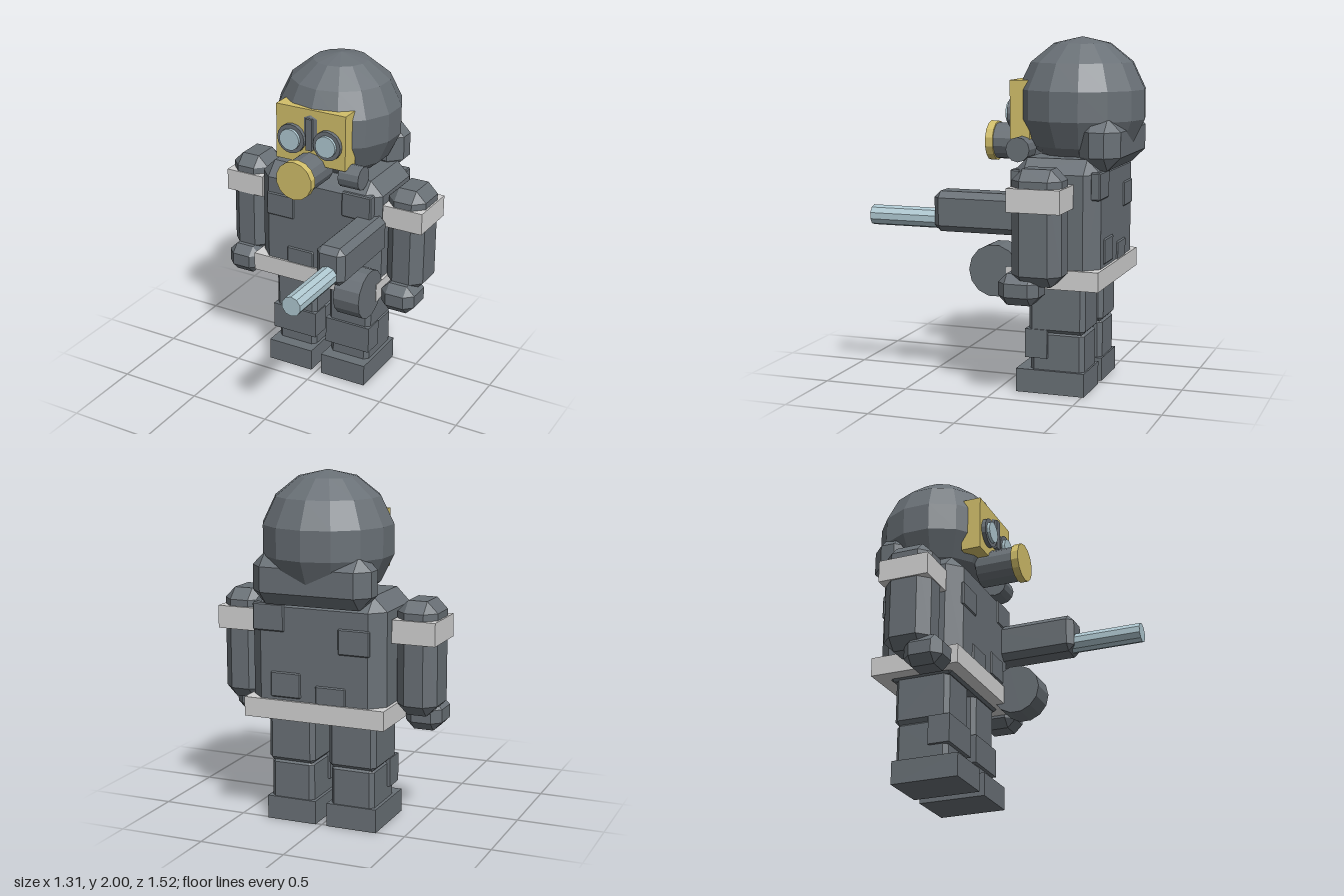
import * as THREE from 'three';
import { ConvexGeometry } from 'three/addons/geometries/ConvexGeometry.js';

const mat = (name, color) => {
  const m = new THREE.MeshStandardMaterial({ color });
  m.name = name;
  m.flatShading = true;
  return m;
};

export function createModel() {
  const armour = mat('dark grey armour', 0x697076);
  const white = mat('white trim', 0xd2d2d2);
  const gold = mat('gold', 0xd2bf6a);
  const glass = mat('pale blue glass', 0xb0c9d2);

  const model = new THREE.Group();
  model.name = 'armouredTrooper';

  const add = (name, geometry, material, parent = model) => {
    const mesh = new THREE.Mesh(geometry, material);
    mesh.name = name;
    parent.add(mesh);
    return mesh;
  };

  // Ranges are [min, max] along each axis
  const box = (name, material, x, y, z, parent) => {
    const mesh = add(name, new THREE.BoxGeometry(x[1] - x[0], y[1] - y[0], z[1] - z[0]), material, parent);
    mesh.position.set((x[0] + x[1]) / 2, (y[0] + y[1]) / 2, (z[0] + z[1]) / 2);
    return mesh;
  };

  // Box with every edge and corner cut by c
  const chamfered = (name, material, x, y, z, c, parent) => {
    const points = [];
    const pick = (range, i, inset) => (i ? range[1] - inset : range[0] + inset);
    for (let i = 0; i < 8; i++) {
      for (let axis = 0; axis < 3; axis++) {
        points.push(new THREE.Vector3(
          pick(x, i & 1, axis === 0 ? 0 : c),
          pick(y, i & 2, axis === 1 ? 0 : c),
          pick(z, i & 4, axis === 2 ? 0 : c)));
      }
    }
    return add(name, new ConvexGeometry(points), material, parent);
  };

  // Cylinders along z and along x
  const rodZ = (name, material, r, x, y, z, sides) => {
    const g = new THREE.CylinderGeometry(r, r, z[1] - z[0], sides).rotateX(Math.PI / 2);
    add(name, g, material).position.set(x, y, (z[0] + z[1]) / 2);
  };
  const rodX = (name, material, r, x, y, z, sides) => {
    const g = new THREE.CylinderGeometry(r, r, x[1] - x[0], sides).rotateZ(Math.PI / 2);
    add(name, g, material).position.set((x[0] + x[1]) / 2, y, z);
  };

  // Helmet and the roll behind the neck
  const helmet = add('helmet', new THREE.SphereGeometry(0.375, 14, 7).rotateY(Math.PI / 2), armour);
  helmet.position.set(0, 1.625, -0.393);
  chamfered('neckRoll', armour, [-0.35, 0.35], [1.275, 1.565], [-0.695, -0.46], 0.075);

  // Face plate, goggles and breathing filter
  box('facePlate', gold, [-0.225, 0.225], [1.43, 1.76], [-0.155, -0.037]);
  box('noseBridge', armour, [-0.02, 0.02], [1.52, 1.71], [-0.05, -0.013]);
  for (const s of [-1, 1]) {
    rodZ('goggleRim', armour, 0.088, s * 0.117, 1.57, [-0.06, -0.012], 16);
    rodZ('goggleLens', glass, 0.064, s * 0.117, 1.57, [-0.03, 0.005], 16);
  }
  rodZ('filterBody', armour, 0.105, 0, 1.395, [-0.12, 0.11], 14);
  rodZ('filterCap', gold, 0.115, 0, 1.395, [0.11, 0.155], 14);
  rodX('cheekCanister', armour, 0.07, [0.175, 0.305], 1.378, -0.11, 12);

  // Torso, belt and raised plates, front and back
  chamfered('torso', armour, [-0.4, 0.4], [0.61, 1.34], [-0.6, -0.095], 0.08);
  box('belt', white, [-0.418, 0.418], [0.625, 0.735], [-0.615, -0.082]);
  const plates = [
    [[-0.33, -0.145], [1.02, 1.165]],
    [[0.175, 0.365], [1.12, 1.275]],
    [[0.078, 0.26], [0.75, 0.895]],
    [[-0.19, -0.01], [0.69, 0.835]],
  ];
  for (const [x, y] of plates) {
    chamfered('chestPlate', armour, x, y, [-0.145, -0.088], 0.007);
    chamfered('backPlate', armour, x, y, [-0.607, -0.55], 0.007);
  }

  // Limbs
  for (const s of [-1, 1]) {
    const span = (a, b) => (s > 0 ? [a, b] : [-b, -a]);
    const arm = new THREE.Group();
    arm.name = s > 0 ? 'leftArm' : 'rightArm';
    model.add(arm);
    chamfered('arm', armour, span(0.41, 0.643), [0.67, 1.31], [-0.457, -0.173], 0.062, arm);
    box('shoulderBand', white, span(0.405, 0.653), [1.08, 1.21], [-0.467, -0.166], arm);
    chamfered('hand', armour, span(0.42, 0.633), [0.56, 0.735], [-0.33, -0.097], 0.05, arm);

    const leg = new THREE.Group();
    leg.name = s > 0 ? 'leftLeg' : 'rightLeg';
    model.add(leg);
    chamfered('thigh', armour, span(0.043, 0.325), [0.345, 0.68], [-0.51, -0.18], 0.025, leg);
    chamfered('shin', armour, span(0.053, 0.313), [0.11, 0.365], [-0.503, -0.188], 0.025, leg);
    box('kneePad', armour, span(0.037, 0.332), [0.205, 0.37], [-0.295, -0.165], leg);
    box('boot', armour, span(0.035, 0.332), [0, 0.135], [-0.512, -0.112], leg);
  }

  // Side-mounted launcher
  chamfered('launcherBody', armour, [0.245, 0.425], [0.91, 1.14], [-0.2, 0.355], 0.036);
  rodZ('launcherBarrel', glass, 0.058, 0.335, 0.975, [0.3, 0.757], 10);
  rodX('launcherDrum', armour, 0.148, [0.25, 0.415], 0.707, -0.01, 14);

  return model;
}
